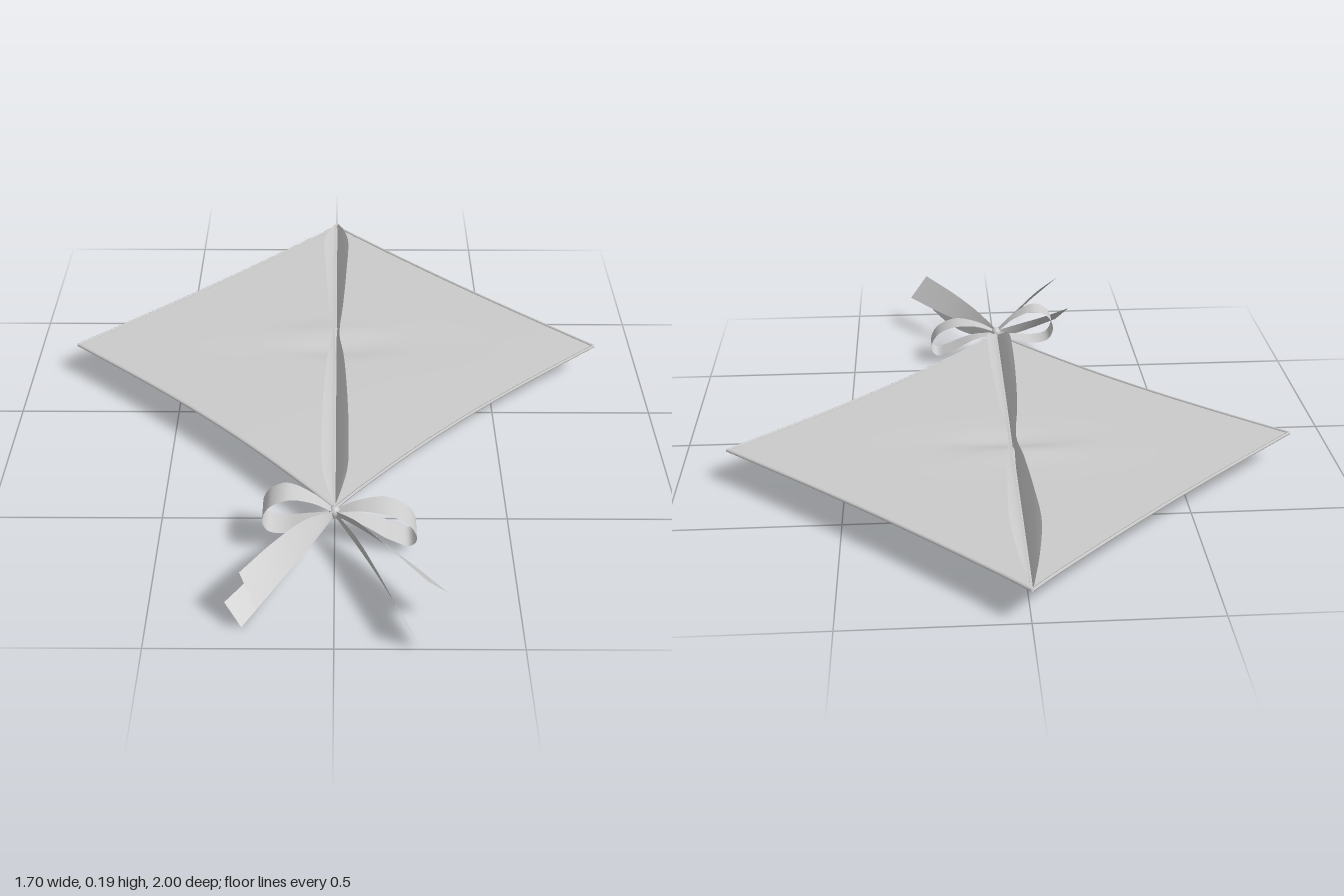
import * as THREE from 'three';

const V = (x, y, z) => new THREE.Vector3(x, y, z);
const material = new THREE.MeshStandardMaterial({ color: 0xcccccc, side: THREE.DoubleSide });

function add(group, name, geometry) {
  const mesh = new THREE.Mesh(geometry, material);
  mesh.name = name;
  group.add(mesh);
}

// Thin surface: a grid whose points are placed by rule(u, v), u and v in 0..1
function sheet(nu, nv, rule) {
  const geo = new THREE.PlaneGeometry(1, 1, nu, nv);
  const p = geo.attributes.position;
  for (let i = 0; i < p.count; i++) {
    const q = rule(p.getX(i) + 0.5, p.getY(i) + 0.5);
    p.setXYZ(i, q.x, q.y, q.z);
  }
  geo.computeVertexNormals();
  return geo;
}

// Ribbon stretched between two edge curves
function ribbon(edgeA, edgeB) {
  const a = new THREE.CatmullRomCurve3(edgeA);
  const b = new THREE.CatmullRomCurve3(edgeB);
  return sheet(32, 4, (u, v) => a.getPoint(u).lerp(b.getPoint(u), v));
}

// Sail outline: diamond with gently hollowed edges
const BACK = -1, WING = -0.225, FRONT = 0.57, HALF = 0.85;
function halfWidth(z) {
  const back = z < WING;
  const k = back ? (z - BACK) / (WING - BACK) : (FRONT - z) / (FRONT - WING);
  return HALF * k - (back ? 0.018 : 0.045) * Math.sin(Math.PI * k);
}
const bell = (x, w) => Math.exp(-((x / w) ** 2));

function sailPoint(u, v) {
  const z = v < 0.5 ? BACK + (WING - BACK) * v * 2 : WING + (FRONT - WING) * (v * 2 - 1);
  const x = (u * 2 - 1) * halfWidth(z);
  const pinch = bell(x, 0.16) * (0.012 * bell(z + 0.29, 0.06) - 0.016 * bell(z + 0.22, 0.05));
  return V(x, 0.104 + pinch, z);
}

export function createModel() {
  const kite = new THREE.Group();
  kite.name = 'kite';

  // Sail
  add(kite, 'sail', sheet(60, 80, sailPoint));

  // Rolled hems along the four edges
  for (const side of [-1, 1]) {
    for (const [name, z0, z1] of [['backHem', BACK, WING], ['frontHem', WING, FRONT]]) {
      const pts = [];
      for (let i = 0; i <= 12; i++) {
        const z = z0 + (z1 - z0) * i / 12;
        pts.push(V(side * Math.max(0, halfWidth(z) - 0.004), 0.104, z));
      }
      add(kite, name, new THREE.TubeGeometry(new THREE.CatmullRomCurve3(pts), 24, 0.005, 6));
    }
  }

  // Pair of spine flaps leaning apart, pinched together near the cross point
  for (const side of [-1, 1]) {
    const top = new THREE.CatmullRomCurve3([
      [0.003, 0.118, -0.995], [0.025, 0.145, -0.9], [0.04, 0.168, -0.78], [0.034, 0.165, -0.6],
      [0.022, 0.152, -0.4], [0.01, 0.138, -0.25], [0.024, 0.153, -0.1], [0.034, 0.162, 0.1],
      [0.038, 0.165, 0.3], [0.034, 0.158, 0.46], [0.02, 0.135, 0.51], [0.003, 0.11, 0.55],
    ].map(([x, y, z]) => V(side * x, y, z)));
    add(kite, side > 0 ? 'leftFlap' : 'rightFlap', sheet(60, 6, (u, v) => {
      const t = top.getPoint(u);
      return V(t.x * v ** 1.4 + side * 0.002, 0.102 + (t.y - 0.102) * v, t.z);
    }));
  }

  // Bow
  const bow = new THREE.Group();
  bow.name = 'bow';
  kite.add(bow);

  const knot = new THREE.SphereGeometry(0.016, 16, 12);
  knot.scale(1, 1.1, 1.1);
  knot.translate(0, 0.105, 0.583);
  add(bow, 'knot', knot);

  // Loops: closed drops, gathered at the knot and wide at the outer end
  const loops = {
    leftLoop: [[0, 0.108], [0.07, 0.135], [0.15, 0.138], [0.21, 0.105], [0.23, 0.055],
      [0.21, 0.03], [0.165, 0.045], [0.08, 0.085], [0, 0.1]],
    rightLoop: [[0, 0.108], [-0.06, 0.16], [-0.13, 0.19], [-0.18, 0.17], [-0.2, 0.125],
      [-0.185, 0.085], [-0.14, 0.072], [-0.07, 0.085], [0, 0.1]],
  };
  for (const [name, outline] of Object.entries(loops)) {
    const curve = new THREE.CatmullRomCurve3(outline.map(([x, y]) => V(x, y, 0)));
    add(bow, name, sheet(48, 4, (u, v) => {
      const p = curve.getPoint(u);
      const spread = 0.009 + 0.031 * Math.min(1, Math.abs(p.x) / 0.14);
      return V(p.x, p.y, 0.585 + 0.09 * Math.abs(p.x) + (v - 0.5) * 2 * spread);
    }));
  }

  // Four streamers: upper and lower edge of each
  const tails = {
    leftUpperTail: [
      [[0, 0.113, 0.59], [0.06, 0.148, 0.67], [0.14, 0.17, 0.79], [0.24, 0.185, 0.935]],
      [[0, 0.1, 0.59], [0.09, 0.1, 0.665], [0.19, 0.105, 0.77], [0.3, 0.112, 0.905]]],
    leftLowerTail: [
      [[0, 0.11, 0.59], [0.06, 0.115, 0.7], [0.12, 0.112, 0.84], [0.18, 0.1, 0.99]],
      [[0, 0.095, 0.59], [0.075, 0.05, 0.69], [0.15, 0.026, 0.83], [0.22, 0.022, 1.0]]],
    rightUpperTail: [
      [[0, 0.113, 0.59], [-0.08, 0.152, 0.67], [-0.16, 0.175, 0.78], [-0.245, 0.18, 0.9]],
      [[0, 0.1, 0.59], [-0.06, 0.104, 0.69], [-0.12, 0.108, 0.82], [-0.2, 0.11, 0.965]]],
    rightLowerTail: [
      [[0, 0.108, 0.59], [-0.09, 0.1, 0.665], [-0.18, 0.082, 0.76], [-0.29, 0.06, 0.89]],
      [[0, 0.095, 0.59], [-0.07, 0.056, 0.68], [-0.15, 0.03, 0.79], [-0.245, 0.002, 0.925]]],
  };
  for (const [name, edges] of Object.entries(tails)) {
    const [a, b] = edges.map((edge) => edge.map((p) => V(...p)));
    add(bow, name, ribbon(a, b));
  }

  return kite;
}
